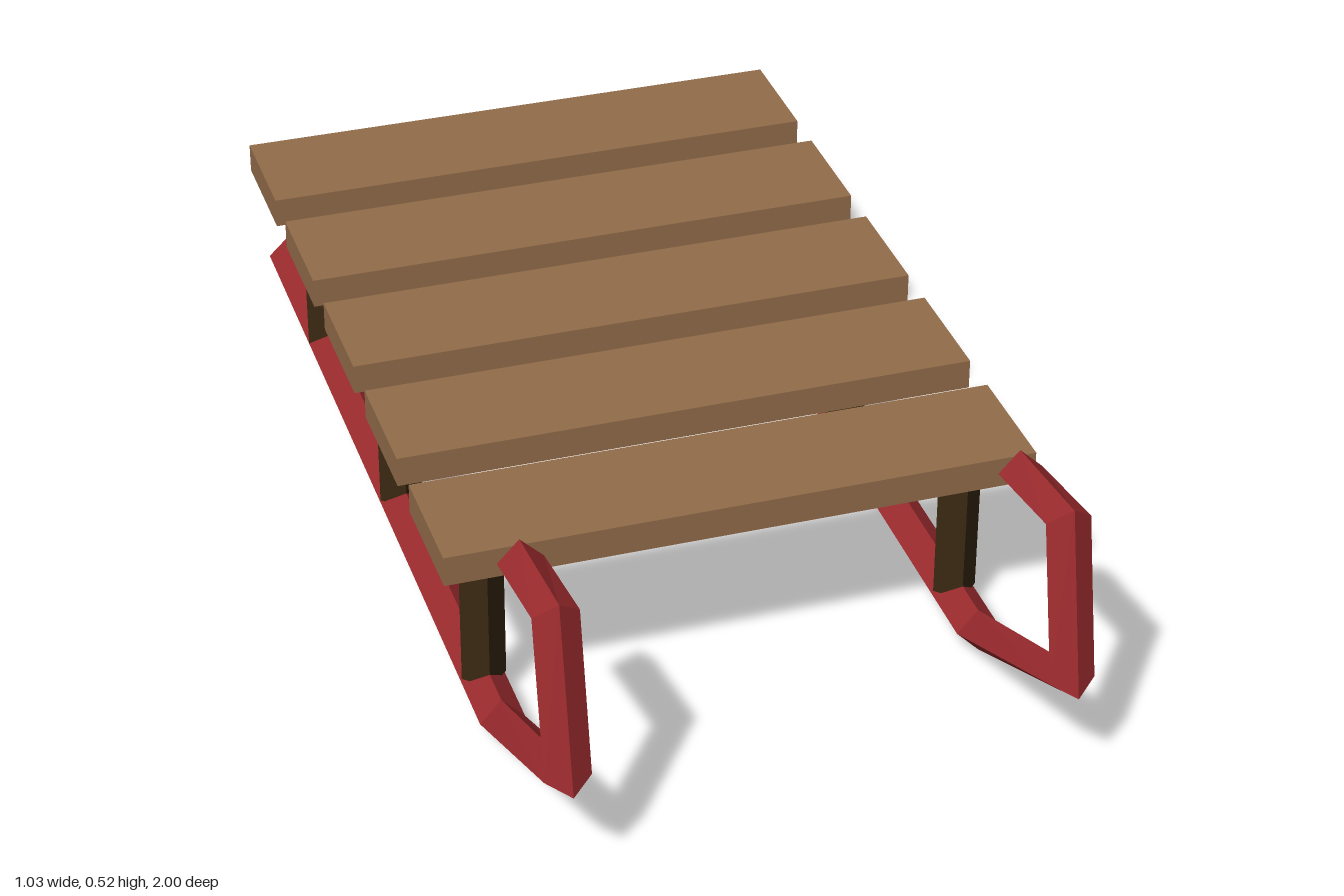
import * as THREE from 'three';

const runnerRed = new THREE.MeshStandardMaterial({ color: 0x9c2b2e });
runnerRed.name = 'runner red';
const plankWood = new THREE.MeshStandardMaterial({ color: 0x926c49 });
plankWood.name = 'plank wood';
const postWood = new THREE.MeshStandardMaterial({ color: 0x3a2712 });
postWood.name = 'dark post wood';

const RUNNER_X = 0.426;
const HALF = 0.039;

// Diamond-section bar bent along a path; each row: outer z, outer y, inner z, inner y
function runnerGeometry() {
  const stations = [
    [-1, 0.015, -1, 0.09],
    [0.583, 0, 0.573, 0.077],
    [1, 0.194, 0.94, 0.228],
    [0.933, 0.52, 0.892, 0.458],
    [0.708, 0.493, 0.718, 0.421],
  ];
  const rings = stations.map(([oz, oy, iz, iy]) => {
    const my = (oy + iy) / 2, mz = (oz + iz) / 2;
    return [[0, oy, oz], [HALF, my, mz], [0, iy, iz], [-HALF, my, mz]];
  });
  const pos = [];
  const quad = (a, b, c, d) => pos.push(...a, ...b, ...c, ...a, ...c, ...d);
  for (let i = 0; i < rings.length - 1; i++) {
    for (let k = 0; k < 4; k++) {
      const n = (k + 1) % 4;
      quad(rings[i][k], rings[i][n], rings[i + 1][n], rings[i + 1][k]);
    }
  }
  // End caps
  const first = rings[0], last = rings[rings.length - 1];
  quad(first[3], first[2], first[1], first[0]);
  quad(last[0], last[1], last[2], last[3]);
  const geo = new THREE.BufferGeometry();
  geo.setAttribute('position', new THREE.Float32BufferAttribute(pos, 3));
  geo.computeVertexNormals();
  return geo;
}

export function createModel() {
  const sled = new THREE.Group();
  sled.name = 'sled';

  const add = (name, geo, mat, x, y, z) => {
    const mesh = new THREE.Mesh(geo, mat);
    mesh.name = name;
    mesh.position.set(x, y, z);
    sled.add(mesh);
  };

  // Runners with upturned tips, and three diamond posts standing on each
  const runner = runnerGeometry();
  const postBottom = 0.05, postTop = 0.33;
  const post = new THREE.CylinderGeometry(HALF, HALF, postTop - postBottom, 4).toNonIndexed();
  post.computeVertexNormals();
  for (const [side, sx] of [['left', 1], ['right', -1]]) {
    add(side + 'Runner', runner, runnerRed, sx * RUNNER_X, 0, 0);
    [0.462, -0.099, -0.66].forEach((z, i) =>
      add(`${side}Post${i + 1}`, post, postWood, sx * RUNNER_X, (postBottom + postTop) / 2, z));
  }

  // Five seat planks
  const plank = new THREE.BoxGeometry(1.034, 0.055, 0.223);
  for (let i = 0; i < 5; i++) {
    add(`seatPlank${i + 1}`, plank, plankWood, 0, 0.355, 0.459 - i * 0.304);
  }
  return sled;
}
